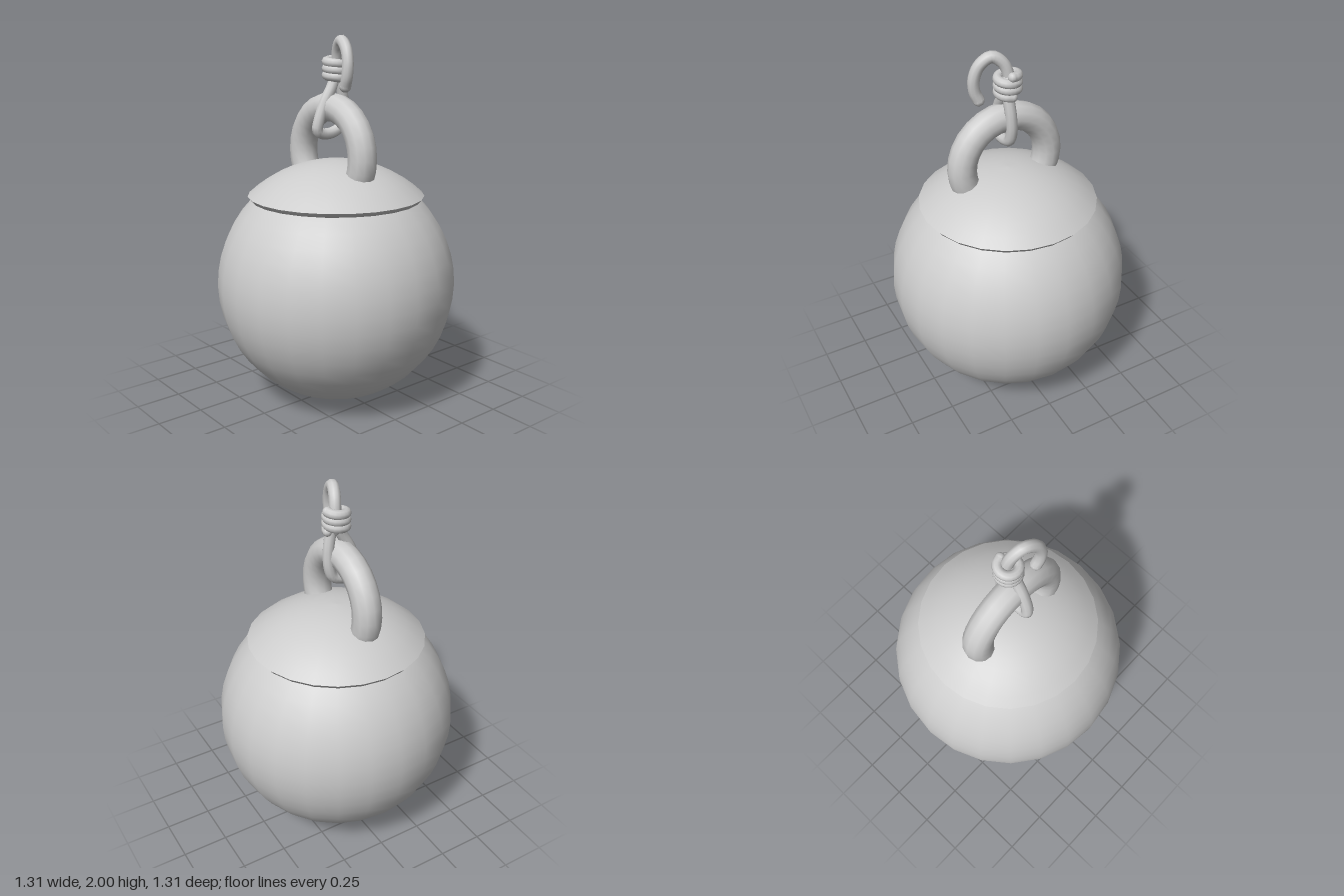
import * as THREE from 'three';

export function createModel() {
  const model = new THREE.Group();
  model.name = 'hangingBall';
  const grey = new THREE.MeshStandardMaterial({ color: 0xcccccc });
  grey.name = 'plain grey';

  const add = (name, geometry, x = 0, y = 0, z = 0) => {
    const mesh = new THREE.Mesh(geometry, grey);
    mesh.name = name;
    mesh.position.set(x, y, z);
    model.add(mesh);
    return mesh;
  };

  // Bent wire through a few points, with rounded ends
  const wire = (name, points, radius, segments) => {
    const curve = new THREE.CatmullRomCurve3(points.map((p) => new THREE.Vector3(...p)));
    add(name, new THREE.TubeGeometry(curve, segments, radius, 10));
    for (const t of [0, 1]) {
      const p = curve.getPoint(t);
      add(name + 'End', new THREE.SphereGeometry(radius, 10, 8), p.x, p.y, p.z);
    }
  };

  // Round body
  add('ball', new THREE.SphereGeometry(0.655, 24, 24), 0, 0.656, 0);

  // Shallow domed cap: underside rim, then the dome, kept as separate surfaces for a sharp edge
  const dome = [];
  const domeRadius = 0.7;
  const edge = Math.asin(0.48 / domeRadius);
  for (let i = 0; i <= 8; i++) {
    const a = edge * (1 - i / 8);
    dome.push(new THREE.Vector2(domeRadius * Math.sin(a), 0.64 + domeRadius * Math.cos(a)));
  }
  add('capDome', new THREE.LatheGeometry(dome, 24));
  const rim = [[0.4, 1.125], [0.462, 1.127], [0.48, dome[0].y]];
  add('capRim', new THREE.LatheGeometry(rim.map((p) => new THREE.Vector2(...p)), 24));

  // Thick arched handle whose feet turn in slightly and sink into the cap
  const overhang = 0.45;
  const arch = new THREE.TorusGeometry(0.252, 0.077, 12, 18, Math.PI + 2 * overhang);
  arch.rotateZ(-overhang);
  arch.rotateY(Math.PI / 2);
  add('handle', arch, -0.029, 1.372, 0);

  // Wire loop threaded under the handle
  wire('lowerLoop', [
    [-0.005, 1.84, 0.0], [-0.03, 1.75, 0.012], [-0.085, 1.65, 0.01], [-0.122, 1.55, 0.005],
    [-0.125, 1.505, 0], [-0.095, 1.487, 0], [-0.03, 1.487, 0], [0.02, 1.51, 0],
    [0.042, 1.57, 0], [0.043, 1.66, 0.005], [0.025, 1.76, 0.01], [0.01, 1.85, 0.005],
  ], 0.03, 48);

  // Open hook curling forward at the top
  wire('hook', [
    [0.008, 1.77, 0], [0.006, 1.87, 0.0], [-0.006, 1.935, 0.025], [-0.025, 1.968, 0.075],
    [-0.042, 1.93, 0.132], [-0.052, 1.86, 0.16], [-0.055, 1.79, 0.157], [-0.05, 1.74, 0.137],
  ], 0.031, 32);

  // Wire wrapped three times around the neck
  const coil = [];
  for (let i = 0; i <= 36; i++) {
    const a = (i / 12) * Math.PI * 2;
    coil.push([0.051 * Math.cos(a), 1.768 + 0.106 * (i / 36), 0.051 * Math.sin(a)]);
  }
  wire('neckCoil', coil, 0.025, 60);

  return model;
}
